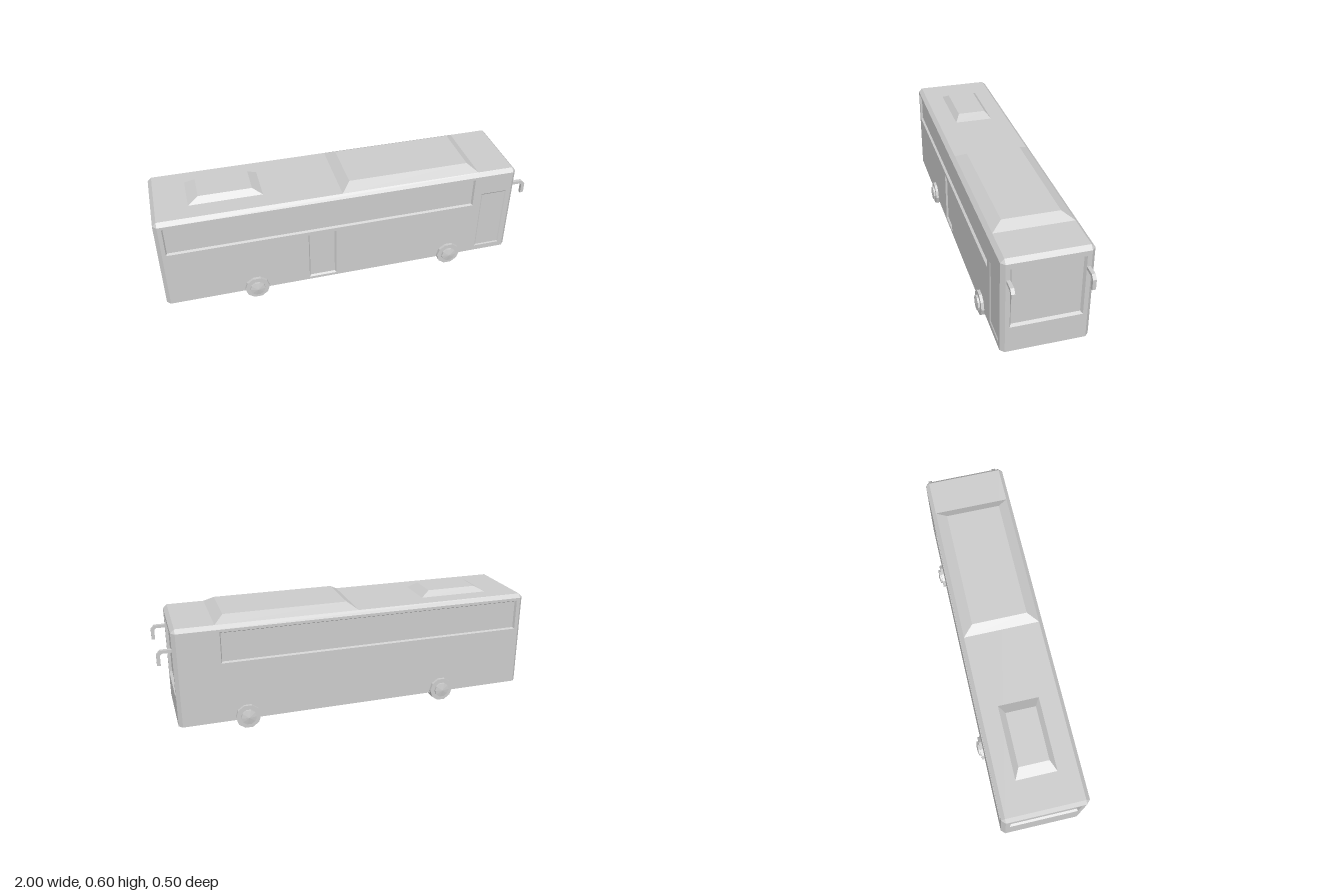
import * as THREE from 'three';

const grey = new THREE.MeshStandardMaterial({ color: 0xcccccc, flatShading: true });

// Body limits: ends, half width, floor, chamfer start, roof, chamfer size
const X0 = -1, X1 = 0.925, W = 0.22, FLOOR = 0.045, EAVE = 0.55, ROOF = 0.57, C = 0.02;

function mesh(geometry, name) {
  const m = new THREE.Mesh(geometry, grey);
  m.name = name;
  return m;
}

// Joins matching loops of points with flat quads; optionally closes the last loop
function loft(loops, cap = true, keep = () => true) {
  const p = [];
  const tri = (a, b, c) => p.push(...a, ...b, ...c);
  for (let k = 0; k + 1 < loops.length; k++) {
    const lo = loops[k], hi = loops[k + 1], n = lo.length;
    for (let i = 0; i < n; i++) {
      if (!keep(k, i)) continue;
      const j = (i + 1) % n;
      tri(lo[i], lo[j], hi[j]);
      tri(lo[i], hi[j], hi[i]);
    }
  }
  const last = loops[loops.length - 1];
  if (cap) for (let i = 1; i + 1 < last.length; i++) tri(last[0], last[i], last[i + 1]);
  const g = new THREE.BufferGeometry();
  g.setAttribute('position', new THREE.Float32BufferAttribute(p, 3));
  g.computeVertexNormals();
  return g;
}

// Rectangle in a wall's own plane, counter-clockwise
const wallRect = (r, inset, z) => [
  [r.x0 + inset, r.y0 + inset, z], [r.x1 - inset, r.y0 + inset, z],
  [r.x1 - inset, r.y1 - inset, z], [r.x0 + inset, r.y1 - inset, z],
];
// Horizontal rectangle, counter-clockwise from above
const flatRect = (x0, x1, z0, z1, y) => [[x1, y, z1], [x1, y, z0], [x0, y, z0], [x0, y, z1]];

// A flat wall with openings, each filled by a recessed panel with sloped edges
function wall(name, x0, x1, openings) {
  const g = new THREE.Group();
  g.name = name;
  const shape = new THREE.Shape(wallRect({ x0, x1, y0: FLOOR, y1: EAVE }, 0, 0).map(([x, y]) => new THREE.Vector2(x, y)));
  for (const o of openings) {
    shape.holes.push(new THREE.Path(wallRect(o, 0, 0).reverse().map(([x, y]) => new THREE.Vector2(x, y))));
    g.add(mesh(loft([wallRect(o, 0, 0), wallRect(o, o.inset, -o.depth)]), o.name));
  }
  g.add(mesh(new THREE.ShapeGeometry(shape), name + 'Panel'));
  return g;
}

// Chamfered corner posts, roof edges, roof and floor
function shell() {
  const g = new THREE.Group();
  g.name = 'bodyShell';
  const a = X0 + C, b = X1 - C, w = W - C;
  const ring = (y) => [[X1, y, w], [X1, y, -w], [b, y, -W], [a, y, -W], [X0, y, -w], [X0, y, w], [a, y, W], [b, y, W]];
  const top = [[b, w], [b, -w], [b, -w], [a, -w], [a, -w], [a, w], [a, w], [b, w]].map(([x, z]) => [x, ROOF, z]);
  g.add(mesh(loft([ring(FLOOR), ring(EAVE), top], true, (k, i) => k === 1 || i % 2 === 1), 'roofAndCorners'));
  g.add(mesh(loft([ring(FLOOR).reverse()]), 'floor'));
  return g;
}

function wheel(x, side) {
  const g = new THREE.Group();
  g.name = 'wheel';
  // Ten-sided tyre and domed hub as one turned profile
  const profile = [[0, 0.16], [0.0657, 0.16], [0.0657, 0.235], [0.041, 0.235], [0.041, 0.245], [0, 0.252]];
  const geo = new THREE.LatheGeometry(profile.map(([r, y]) => new THREE.Vector2(r, y)), 10);
  geo.rotateY(Math.PI / 2);
  geo.rotateX(Math.PI / 2);
  g.add(mesh(geo, 'tyreAndHub'));
  g.position.set(x, 0.0625, 0);
  if (side < 0) g.rotation.y = Math.PI;
  return g;
}

// Bent arm with a hanging mirror
function mirror(side) {
  const outline = [
    [0.915, 0.449], [0.972, 0.449], [0.982, 0.439], [0.982, 0.385],
    [1, 0.389], [1, 0.444], [0.981, 0.465], [0.915, 0.465],
  ].map(([x, y]) => new THREE.Vector2(x, y));
  const geo = new THREE.ExtrudeGeometry(new THREE.Shape(outline), { depth: 0.018, bevelEnabled: false });
  geo.translate(0, 0, side * 0.187 - 0.009);
  return mesh(geo, 'mirror');
}

export function createModel() {
  const bus = new THREE.Group();
  bus.name = 'bus';
  bus.add(shell());

  // Long walls; the far one is turned round, so its x runs backwards
  const doorSide = wall('doorSide', X0 + C, X1 - C, [
    { name: 'sideWindow', x0: -0.96, x1: 0.69, y0: 0.37, y1: 0.535, inset: 0.006, depth: 0.012 },
    { name: 'middleDoor', x0: -0.23, x1: -0.08, y0: 0.06, y1: 0.35, inset: 0.007, depth: 0.01 },
    { name: 'frontDoor', x0: 0.735, x1: 0.88, y0: 0.075, y1: 0.437, inset: 0.007, depth: 0.004 },
  ]);
  doorSide.position.z = W;
  const farSide = wall('farSide', -X1 + C, -X0 - C, [
    { name: 'sideWindow', x0: -0.69, x1: 0.96, y0: 0.37, y1: 0.535, inset: 0.006, depth: 0.012 },
  ]);
  farSide.position.z = -W;
  farSide.rotation.y = Math.PI;

  // End walls
  const frontEnd = wall('frontEnd', -W + C, W - C, [
    { name: 'windscreen', x0: -0.178, x1: 0.178, y0: 0.19, y1: 0.523, inset: 0.009, depth: 0.015 },
  ]);
  frontEnd.position.x = X1;
  frontEnd.rotation.y = Math.PI / 2;
  const rearEnd = wall('rearEnd', -W + C, W - C, [
    { name: 'rearWindow', x0: -0.178, x1: 0.178, y0: 0.34, y1: 0.53, inset: 0.007, depth: 0.012 },
  ]);
  rearEnd.position.x = X0;
  rearEnd.rotation.y = -Math.PI / 2;
  bus.add(doorSide, farSide, frontEnd, rearEnd);

  // Tapered roof units
  bus.add(mesh(loft([flatRect(-0.04, 0.71, -0.2, 0.2, ROOF), flatRect(0.01, 0.66, -0.145, 0.145, 0.604)]), 'frontRoofUnit'));
  bus.add(mesh(loft([flatRect(-0.815, -0.435, -0.11, 0.1, ROOF), flatRect(-0.76, -0.485, -0.083, 0.072, 0.6)]), 'rearRoofUnit'));

  for (const side of [1, -1]) {
    for (const x of [-0.52, 0.57]) bus.add(wheel(x, side));
    bus.add(mirror(side));
  }
  return bus;
}
